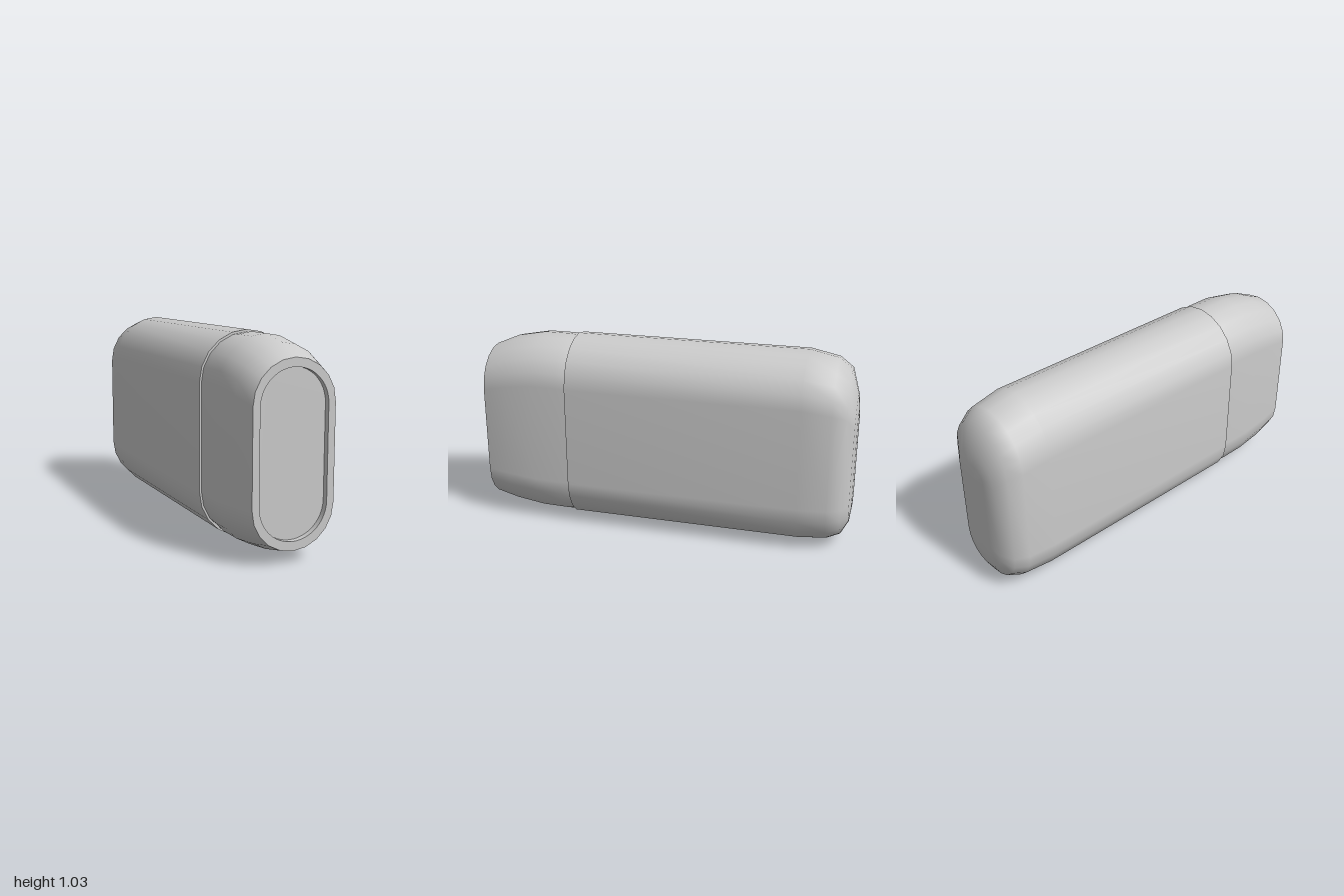
import * as THREE from 'three';

const material = new THREE.MeshStandardMaterial({ color: 0xcccccc });

// Upright stadium outline, counter-clockwise, n segments per rounded end
function stadium([, hw, y0, y1], n) {
  const pts = [];
  for (const side of [1, -1]) {
    const cy = side > 0 ? y1 - hw : y0 + hw;
    for (let i = 0; i <= n; i++) {
      const a = (i / n) * Math.PI + (side > 0 ? 0 : Math.PI);
      pts.push(new THREE.Vector2(hw * Math.cos(a), cy + hw * Math.sin(a)));
    }
  }
  return pts;
}

// Smooth skin through sections [z, halfWidth, bottom, top], listed front to back
function loft(sections, n) {
  const pos = [], idx = [], m = 2 * (n + 1);
  sections.forEach((s, i) => {
    stadium(s, n).forEach((p, j) => {
      pos.push(p.x, p.y, s[0]);
      if (i === sections.length - 1) return;
      const a = i * m + j, b = i * m + (j + 1) % m;
      idx.push(a, a + m, b, b, a + m, b + m);
    });
  });
  const g = new THREE.BufferGeometry();
  g.setAttribute('position', new THREE.Float32BufferAttribute(pos, 3));
  g.setIndex(idx);
  g.computeVertexNormals();
  return g;
}

// Flat face towards +z, optionally with a hole
function face(outer, n, hole, holeN) {
  const shape = new THREE.Shape(stadium(outer, n));
  if (hole) shape.holes.push(new THREE.Path(stadium(hole, holeN)));
  return new THREE.ShapeGeometry(shape).translate(0, 0, outer[0]);
}

export function createModel() {
  const model = new THREE.Group();
  const add = (name, geometry) => {
    const mesh = new THREE.Mesh(geometry, material);
    mesh.name = name;
    model.add(mesh);
  };
  const SEG = 10, FINE = 24;

  const body = [
    [0.515, 0.25, 0.003, 1.037],
    [-0.73, 0.25, 0.003, 1.037],
    [-0.88, 0.238, 0.018, 1.005],
    [-0.95, 0.206, 0.05, 0.953],
    [-0.988, 0.14, 0.12, 0.82],
    [-0.997, 0.07, 0.2, 0.74],
    [-1, 0, 0.27, 0.67],
  ];
  const nose = [
    [1, 0.208, 0.065, 0.945],
    [0.87, 0.232, 0.035, 1.0],
    [0.71, 0.241, 0.013, 1.03],
    [0.57, 0.241, 0.01, 1.03],
    [0.515, 0.24, 0.015, 1.025],
  ];
  const hole = [1, 0.172, 0.11, 0.902];
  const floor = [0.97, 0.172, 0.11, 0.902];

  // Main body with its step at the front
  add('body', loft(body, SEG));
  add('bodyStep', face(body[0], SEG, nose[4], SEG));

  // Tapered nose with a shallow recess in its end
  add('nose', loft(nose, SEG));
  add('noseRim', face(nose[0], SEG, hole, FINE));
  add('recessWall', loft([floor, hole], FINE));
  add('recessFloor', face(floor, FINE));

  return model;
}
